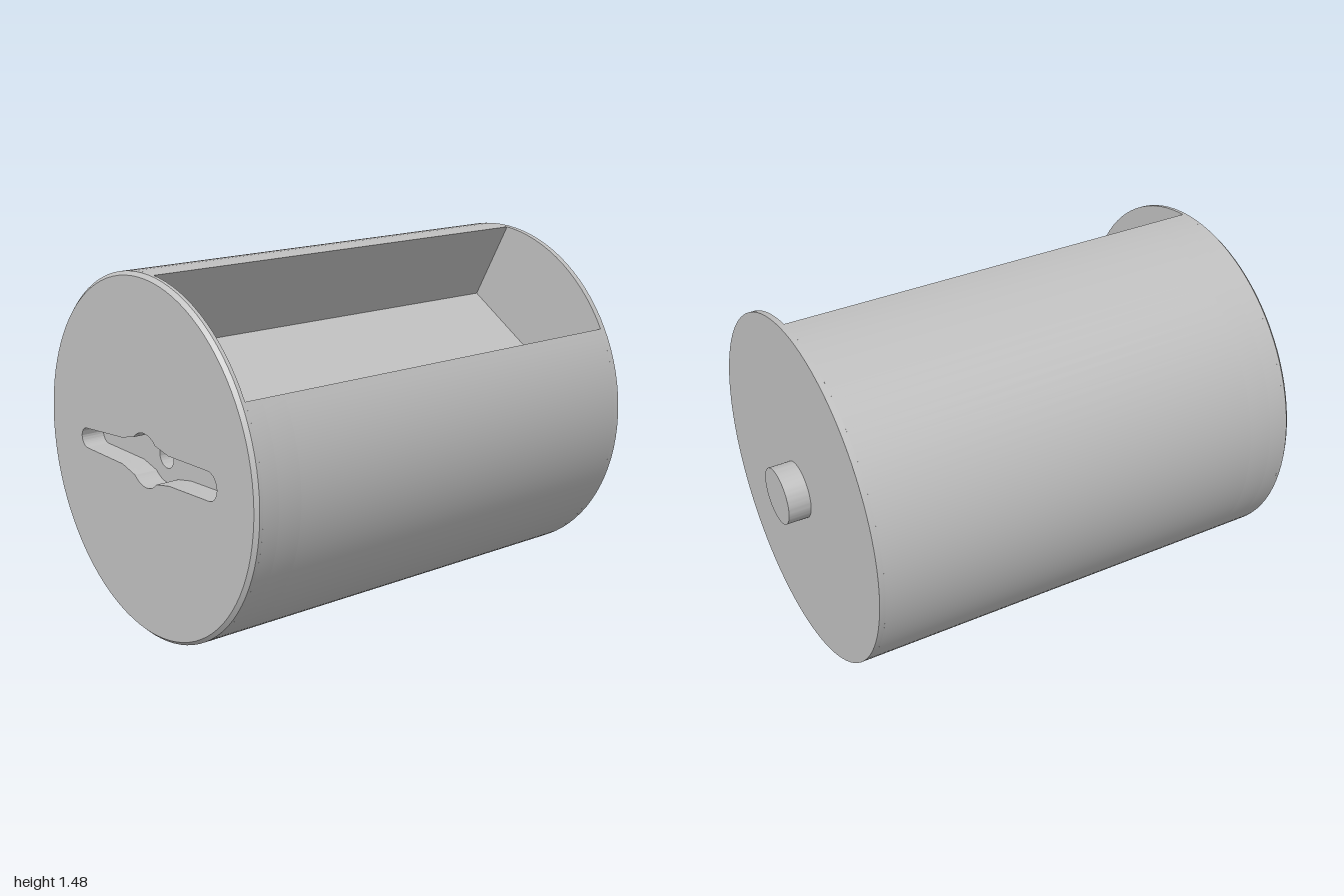
import * as THREE from 'three';
import { toCreasedNormals } from 'three/addons/utils/BufferGeometryUtils.js';

const R = 0.738;          // drum radius
const CHAMFER = 0.015;
const rad = THREE.MathUtils.degToRad;

// Cross-sections are drawn looking along the drum axis: shape x = -z, shape y = height above the axis.
function disc(r) {
  return new THREE.Shape().absarc(0, 0, r, 0, Math.PI * 2, false);
}

// Circle with a tilted rectangular pocket and a radial lip on its front edge
function pocketSection() {
  const s = new THREE.Shape();
  s.absarc(0, 0, R, rad(150), rad(455), false);
  s.lineTo(0.12, 0.405);
  s.lineTo(-0.405, 0.085);
  s.lineTo(-0.555, 0.32);
  s.closePath();
  return s;
}

// Two-armed socket with a round hub
function hornSlot() {
  const p = new THREE.Path();
  p.absarc(0.445, -0.012, 0.042, rad(-90), rad(90), false);
  p.lineTo(0.17, 0.055);
  p.absarc(0, 0, 0.11, rad(45), rad(135), false);
  p.lineTo(-0.17, 0.06);
  p.absarc(-0.435, 0.01, 0.058, rad(90), rad(270), false);
  p.lineTo(-0.17, -0.06);
  p.absarc(0, 0, 0.11, rad(225), rad(315), false);
  p.lineTo(0.17, -0.055);
  p.closePath();
  return p;
}

function hubHole() {
  return new THREE.Path().absarc(0, 0, 0.05, 0, Math.PI * 2, false);
}

export function createModel() {
  const model = new THREE.Group();
  model.name = 'drum';
  const grey = new THREE.MeshStandardMaterial({ color: 0xc0c0c0 });
  grey.name = 'grey';

  const add = (name, geometry) => {
    const mesh = new THREE.Mesh(geometry, grey);
    mesh.name = name;
    mesh.position.y = R;
    model.add(mesh);
  };

  // Extrudes a section along the drum axis from x0 to x1
  const slab = (name, shape, x0, x1, hole) => {
    if (hole) shape.holes.push(hole);
    const g = new THREE.ExtrudeGeometry(shape, { depth: x1 - x0, bevelEnabled: false, curveSegments: 48 });
    g.rotateY(Math.PI / 2).translate(x0, 0, 0);
    add(name, toCreasedNormals(g, 0.5));
  };

  // Socket end: chamfered rim and face
  slab('socketFace', disc(R - CHAMFER), -1, -1 + CHAMFER, hornSlot());
  const rim = new THREE.CylinderGeometry(R - CHAMFER, R, CHAMFER, 96, 1, true);
  rim.rotateZ(Math.PI / 2).translate(-1 + CHAMFER / 2, 0, 0);
  add('chamferedRim', rim);
  slab('socketWall', disc(R), -1 + CHAMFER, -0.97, hornSlot());

  // Pocketed body, with the socket and its hub hole reaching into it
  slab('bodyAroundSocket', pocketSection(), -0.97, -0.9, hornSlot());
  slab('bodyAroundHubHole', pocketSection(), -0.9, -0.8, hubHole());
  slab('body', pocketSection(), -0.8, 0.88);

  // Shaft end
  slab('shaftWall', disc(R), 0.88, 0.905);
  slab('shaft', disc(0.12), 0.905, 1);

  return model;
}
